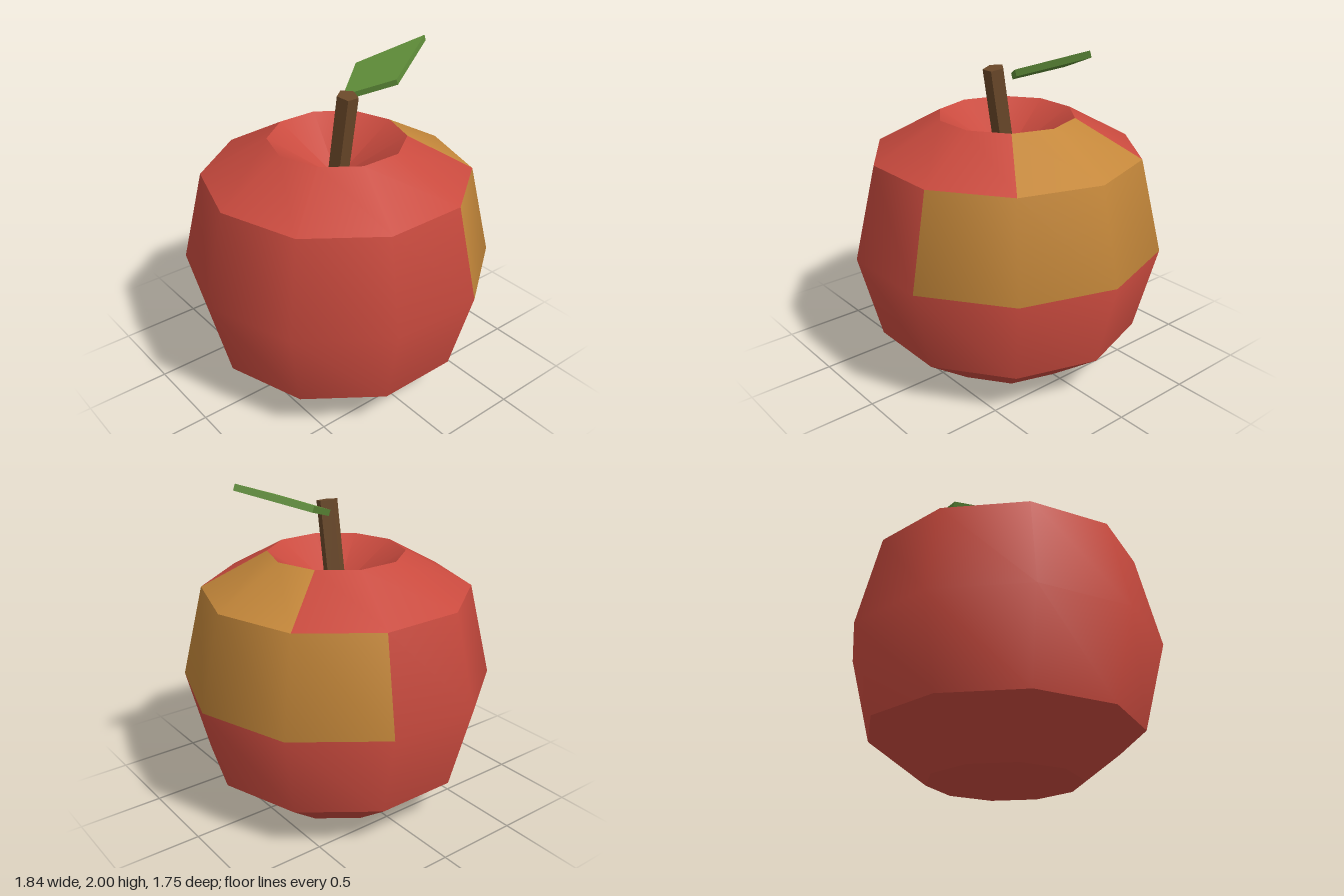
import * as THREE from 'three';

const SIDES = 10;

export function createModel() {
  const model = new THREE.Group();
  model.name = 'apple';

  const skin = new THREE.MeshStandardMaterial({ name: 'red skin', color: 0xc94a3e });
  const blush = new THREE.MeshStandardMaterial({ name: 'golden patch', color: 0xc4873a });
  const bark = new THREE.MeshStandardMaterial({ name: 'brown stem', color: 0x6a4829, flatShading: true });
  const green = new THREE.MeshStandardMaterial({ name: 'green leaf', color: 0x5f8d39, flatShading: true });

  // One smooth band of the fruit; isBlush(segment, row) picks the golden panels
  function band(name, profile, isBlush = () => false) {
    const points = profile.map(([r, y]) => new THREE.Vector2(r, y));
    const geometry = new THREE.LatheGeometry(points, SIDES, Math.PI / 2);
    const rows = points.length - 1;
    for (let i = 0; i < SIDES; i++) {
      for (let j = 0; j < rows; j++) {
        geometry.addGroup((i * rows + j) * 6, 6, isBlush(i, j) ? 1 : 0);
      }
    }
    const mesh = new THREE.Mesh(geometry, [skin, blush]);
    mesh.name = name;
    model.add(mesh);
  }

  // Panels within n segments of the +x side
  const nearLeft = (i, n) => i < n || i >= SIDES - n;

  band('bottomHollow', [[0, 0.18], [0.44, 0]]);
  band('lowerSlope', [[0.44, 0], [0.79, 0.265]]);
  band('wall', [[0.79, 0.265], [0.92, 0.77], [0.79, 1.32]], (i, j) => j === 1 && nearLeft(i, 2));
  band('shoulder', [[0.79, 1.32], [0.4, 1.535]], (i) => nearLeft(i, 1));
  band('topHollow', [[0.4, 1.535], [0, 1.28]]);

  // Five-sided stem leaning to the front
  const stem = new THREE.Mesh(new THREE.CylinderGeometry(0.063, 0.063, 0.55, 5, 1, false, Math.PI), bark);
  stem.name = 'stem';
  stem.position.set(0, 1.542, 0.046);
  stem.rotation.x = 0.165;
  model.add(stem);

  // Flat diamond leaf rising to the side
  const thickness = 0.036;
  const outline = new THREE.Shape([
    new THREE.Vector2(0, 0),
    new THREE.Vector2(0.253, -0.175),
    new THREE.Vector2(0.649, 0),
    new THREE.Vector2(0.253, 0.175),
  ]);
  const leafGeometry = new THREE.ExtrudeGeometry(outline, { depth: thickness, bevelEnabled: false });
  leafGeometry.translate(0, 0, -thickness / 2);
  leafGeometry.rotateX(-Math.PI / 2);
  const leaf = new THREE.Mesh(leafGeometry, green);
  leaf.name = 'leaf';
  leaf.position.set(0.048, 1.76, 0);
  leaf.rotation.z = 0.351;
  model.add(leaf);

  return model;
}
